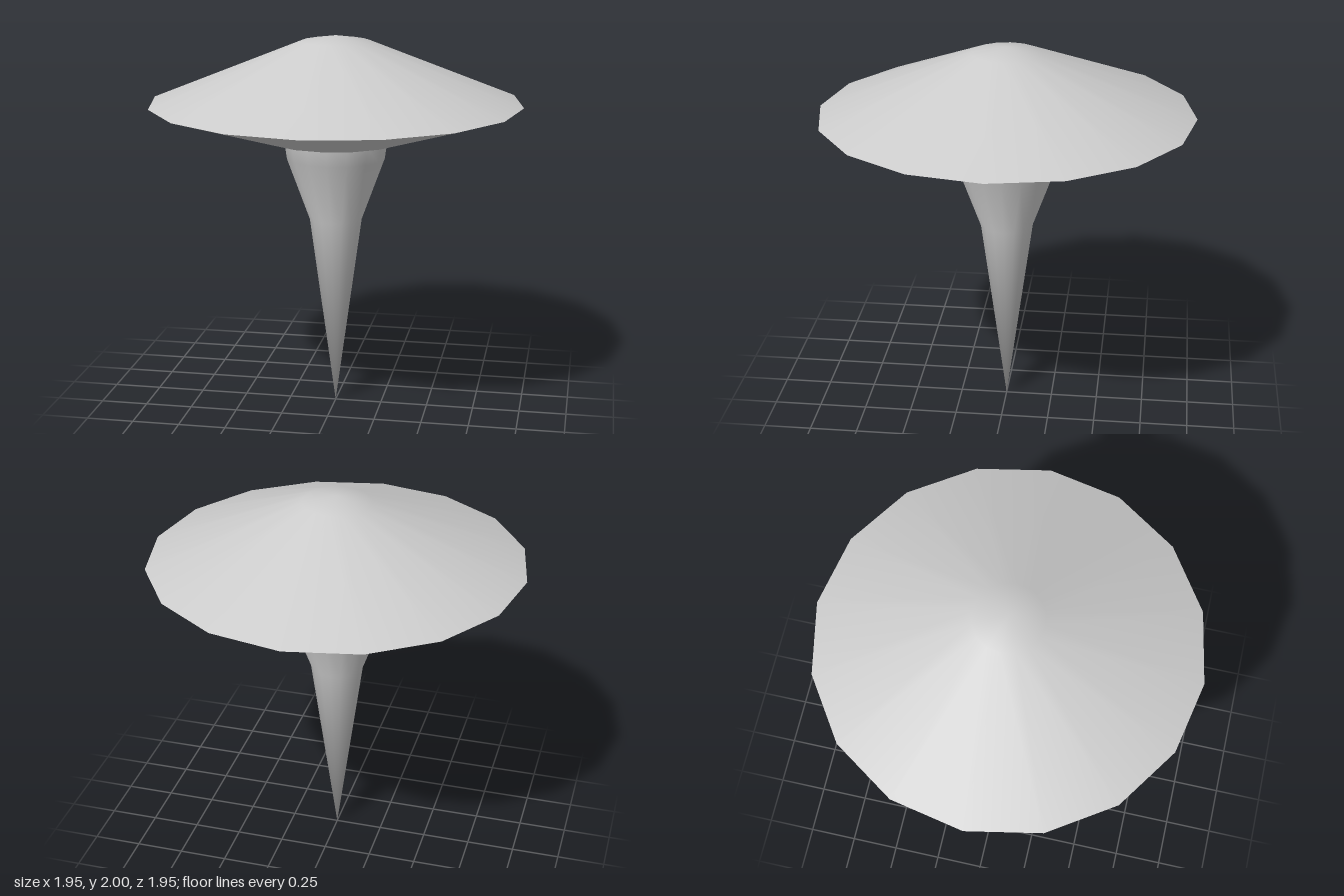
import * as THREE from 'three';
import { mergeVertices } from 'three/addons/utils/BufferGeometryUtils.js';

const SIDES = 16;
const material = new THREE.MeshStandardMaterial({ color: 0xcccccc, side: THREE.DoubleSide });

// Turned part from [radius, height] pairs, smooth across its seam and poles
function turned(name, profile) {
  const points = profile.map(([r, y]) => new THREE.Vector2(r, y));
  let geometry = new THREE.LatheGeometry(points, SIDES);
  geometry.deleteAttribute('uv');
  geometry.deleteAttribute('normal');
  geometry = mergeVertices(geometry, 1e-4);
  geometry.computeVertexNormals();
  const mesh = new THREE.Mesh(geometry, material);
  mesh.name = name;
  return mesh;
}

export function createModel() {
  const group = new THREE.Group();
  group.name = 'spikedDisc';

  // Pointed stem, flaring up into the hollow under the cap
  group.add(turned('stem', [[0, 0], [0.14, 1.03], [0.26, 1.36], [0.275, 1.46], [0.305, 1.7]]));

  // Broad conical cap with a blunt crown
  group.add(turned('capTop', [[0.975, 1.65], [0.18, 1.97], [0, 2]]));

  // Underside of the cap, sloping in to the collar
  group.add(turned('capUnderside', [[0.38, 1.465], [0.975, 1.65]]));

  // Inner wall of the collar, closing against the stem
  group.add(turned('collarWall', [[0.305, 1.7], [0.36, 1.62], [0.38, 1.465]]));

  return group;
}
